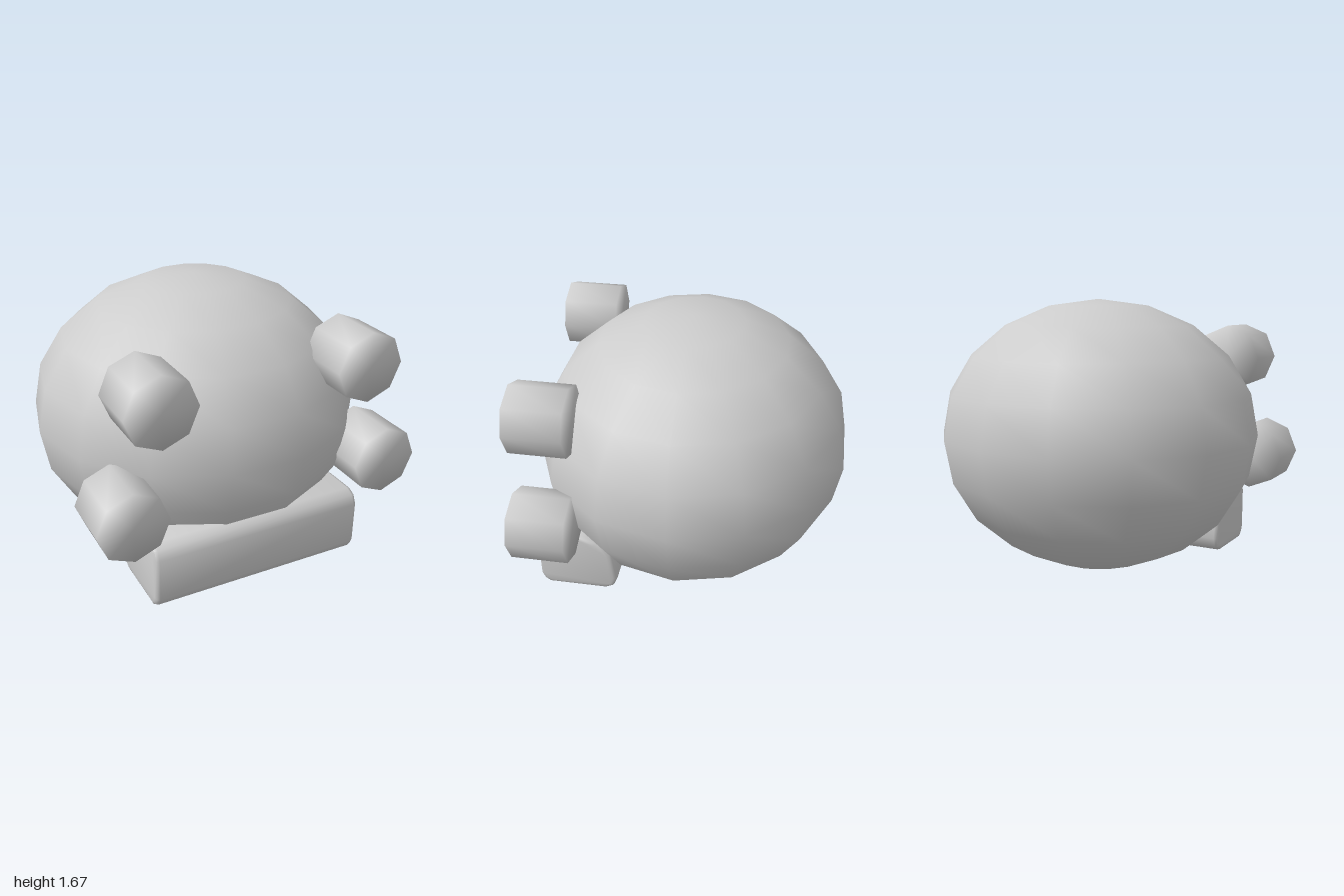
import * as THREE from 'three';
import { mergeVertices, toCreasedNormals } from 'three/addons/utils/BufferGeometryUtils.js';

// Weld a geometry so that its normals run smoothly over every edge.
function smooth(geometry) {
  geometry.deleteAttribute('normal');
  geometry.deleteAttribute('uv');
  const welded = mergeVertices(geometry, 1e-4);
  welded.computeVertexNormals();
  return welded;
}

export function createModel() {
  const model = new THREE.Group();
  const grey = new THREE.MeshStandardMaterial({ color: 0xcccccc });
  grey.name = 'plain grey';

  const add = (name, geometry, x, y, z) => {
    const mesh = new THREE.Mesh(geometry, grey);
    mesh.name = name;
    mesh.position.set(x, y, z);
    model.add(mesh);
  };

  // Round body, slightly flattened
  const body = new THREE.SphereGeometry(1, 14, 10);
  body.scale(1, 0.835, 0.955);
  add('body', body, 0, 0.835, 0);

  // Four eight-sided knobs facing forward
  const knob = smooth(new THREE.CylinderGeometry(0.207, 0.207, 0.335, 8).rotateX(Math.PI / 2));
  for (const [side, s] of [['left', 1], ['right', -1]]) {
    add(side + 'UpperKnob', knob, s * 0.625, 1.295, 0.7525);
    add(side + 'LowerKnob', knob, s * 0.793, 0.67, 0.7525);
  }

  // Bevelled front bar: side profile in (z, y), extruded across the width
  const profile = new THREE.Shape([
    [0.82, 0.05], [0.855, 0.075], [0.875, 0.12], [0.875, 0.38], [0.85, 0.435], [0.8, 0.458],
    [0.6, 0.455], [0.5, 0.425], [0.42, 0.34], [0.385, 0.14], [0.41, 0.075], [0.46, 0.05],
  ].map(([z, y]) => new THREE.Vector2(z, y)));
  const bevel = 0.025;
  const bar = new THREE.ExtrudeGeometry(profile, {
    depth: 1.32 - 2 * bevel, bevelEnabled: true, bevelSegments: 2,
    bevelSize: bevel, bevelThickness: bevel, bevelOffset: -bevel,
  });
  bar.translate(0, 0, bevel - 0.66).rotateY(-Math.PI / 2);
  add('frontBar', toCreasedNormals(bar, 0.9), 0, 0, 0);

  return model;
}
